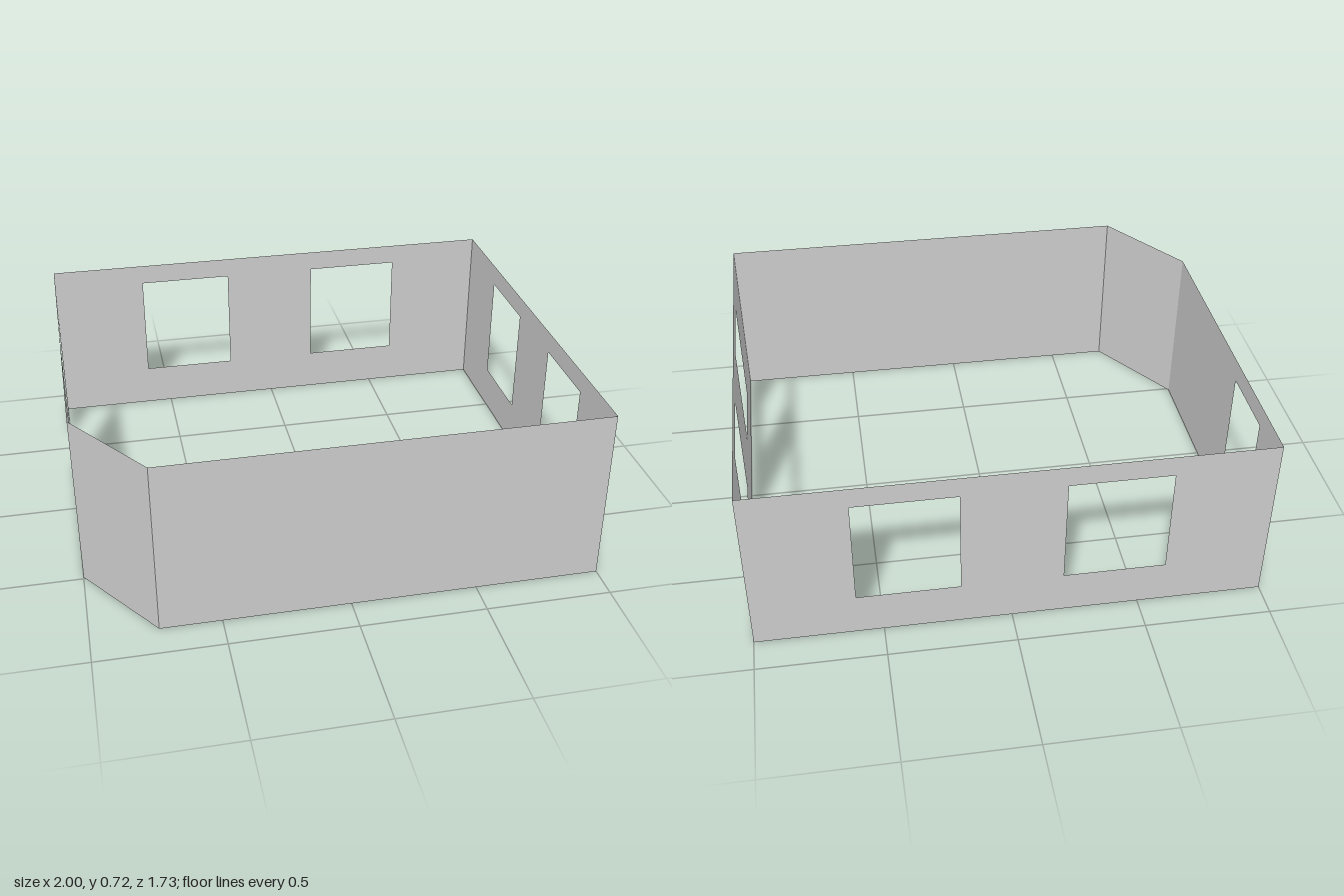
import * as THREE from 'three';

const HEIGHT = 0.716;
const SILL = 0.18;
const LINTEL = 0.63;

const material = new THREE.MeshStandardMaterial({
  color: 0xcccccc, side: THREE.DoubleSide, flatShading: true,
});

function outline(path, u0, v0, u1, v1) {
  path.moveTo(u0, v0);
  path.lineTo(u1, v0);
  path.lineTo(u1, v1);
  path.lineTo(u0, v1);
  path.closePath();
  return path;
}

// Paper-thin wall standing between two plan points [x, z].
// windows: [start, end] distances along the wall; door: the same, down to the floor.
function wall(name, [x0, z0], [x1, z1], { windows = [], door } = {}) {
  const length = Math.hypot(x1 - x0, z1 - z0);
  const shape = new THREE.Shape();
  shape.moveTo(0, 0);
  if (door) {
    shape.lineTo(door[0], 0);
    shape.lineTo(door[0], LINTEL);
    shape.lineTo(door[1], LINTEL);
    shape.lineTo(door[1], 0);
  }
  shape.lineTo(length, 0);
  shape.lineTo(length, HEIGHT);
  shape.lineTo(0, HEIGHT);
  shape.closePath();
  for (const [a, b] of windows) {
    shape.holes.push(outline(new THREE.Path(), a, SILL, b, LINTEL));
  }
  const mesh = new THREE.Mesh(new THREE.ShapeGeometry(shape), material);
  mesh.name = name;
  mesh.position.set(x0, 0, z0);
  mesh.rotation.y = -Math.atan2(z1 - z0, x1 - x0);
  return mesh;
}

export function createModel() {
  const room = new THREE.Group();
  room.name = 'room';

  // Plan corners, counter-clockwise seen from above, so faces point outward
  const D = 0.863;
  const frontLeft = [1, D];
  const backLeft = [1, -D];
  const backRight = [-1, -D];
  const bevelBack = [-1, 0.49];
  const bevelFront = [-0.74, D];

  room.add(
    wall('frontWall', bevelFront, frontLeft),
    wall('windowSideWall', frontLeft, backLeft, {
      windows: [[D - 0.52, D - 0.173], [D + 0.173, D + 0.52]],
    }),
    wall('backWall', backLeft, backRight, { windows: [[0.4, 0.8], [1.2, 1.6]] }),
    wall('doorSideWall', backRight, bevelBack, { door: [D - 0.62, D - 0.32] }),
    wall('bevelledCornerWall', bevelBack, bevelFront),
  );
  return room;
}
